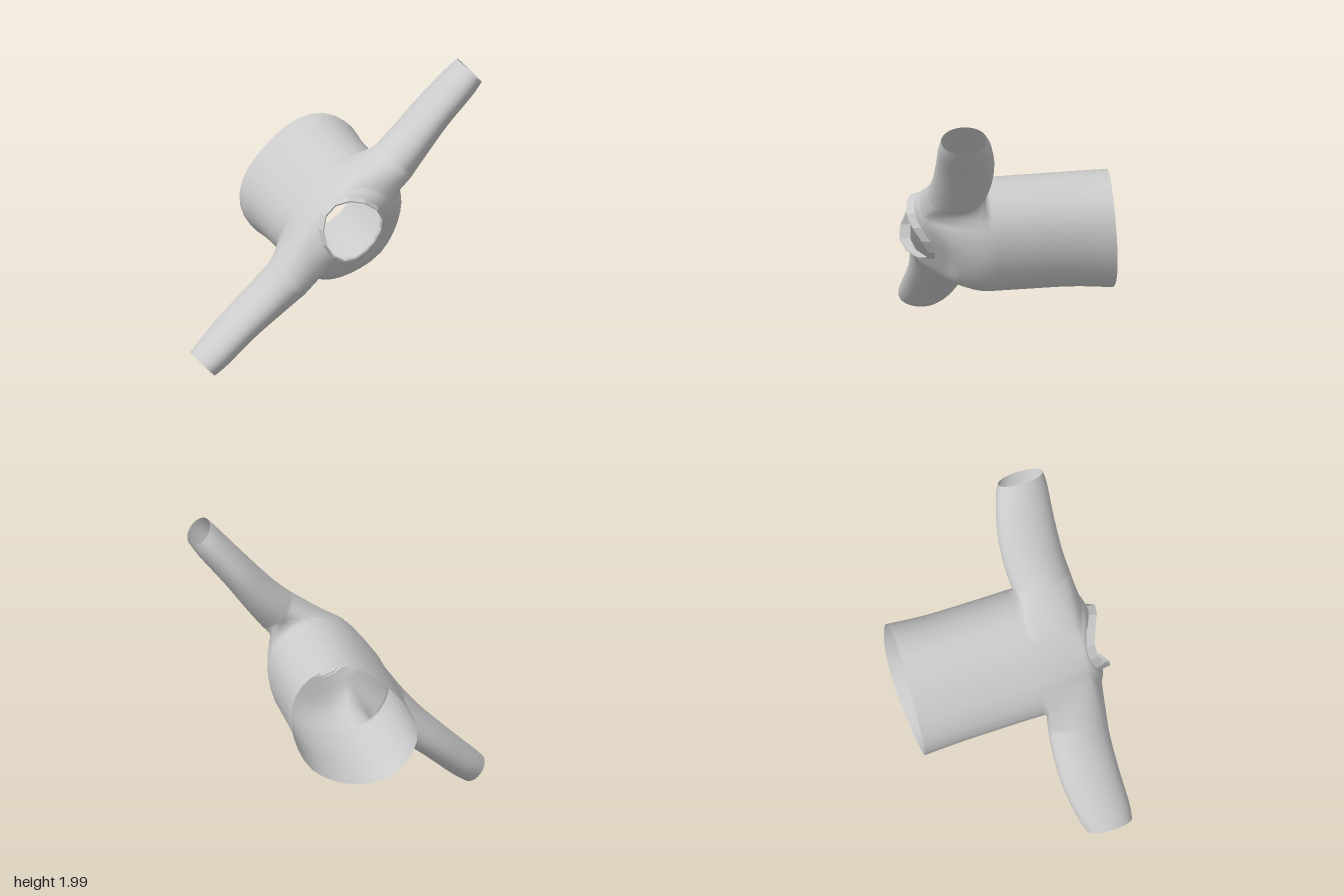
import * as THREE from 'three';
import { mergeGeometries, mergeVertices } from 'three/addons/utils/BufferGeometryUtils.js';

const V3 = (x, y, z) => new THREE.Vector3(x, y, z);
const U = V3(1, 1, 0).normalize();   // along the sleeves
const V = V3(1, -1, 0).normalize();  // across the body, from back to chest
const COLS = 32;                     // points around torso and sleeves

// Armhole patch in the torso grid: columns (counted towards the chest) and rows
const HOLE = { c0: -5, c1: 1, j0: 12, j1: 22 };

// Point at u along the sleeves, v across the body, z from hem to collar
const place = (u, v, z) => V3(0, 1, z).addScaledVector(U, u).addScaledVector(V, v);

// Skin a list of rings, leaving out the quads that skip(column, row) names
function skin(rings, skip = () => false) {
  const n = rings[0].length, pos = [], index = [];
  rings.forEach(r => r.forEach(p => pos.push(p.x, p.y, p.z)));
  for (let j = 0; j < rings.length - 1; j++) {
    for (let i = 0; i < n; i++) {
      if (skip(i, j)) continue;
      const a = j * n + i, b = j * n + (i + 1) % n;
      index.push(a, a + n, b, b, a + n, b + n);
    }
  }
  const g = new THREE.BufferGeometry();
  g.setAttribute('position', new THREE.Float32BufferAttribute(pos, 3));
  g.setIndex(index);
  return g;
}

const ring = (n, fn) => Array.from({ length: n }, (_, i) => fn(i / n * Math.PI * 2));

// Smoothly subdivide a table of cross-section values
function refine(rows, steps) {
  const out = [];
  for (let i = 0; i < rows.length - 1; i++) {
    const p = [rows[Math.max(i - 1, 0)], rows[i], rows[i + 1], rows[Math.min(i + 2, rows.length - 1)]];
    for (let s = 0; s < steps; s++) {
      const t = s / steps;
      out.push(p[1].map((b, k) => {
        const a = p[0][k], c = p[2][k], d = p[3][k];
        return b + 0.5 * t * (c - a + t * (2 * a - 5 * b + 4 * c - d + t * (3 * (b - c) + d - a)));
      }));
    }
  }
  out.push(rows[rows.length - 1]);
  return out;
}

// Neckline: high over the shoulders, lowest at the chest
const saddle = a => Math.cos(2 * a) - 0.4 * Math.sin(a);

// Superellipse radius: flat and square at the back, tapering at the chest
function bodyRadius(a, amount) {
  const e = 2 + amount * (Math.sin(a) < 0 ? 0.5 : -0.25);
  return (Math.abs(Math.cos(a)) ** e + Math.abs(Math.sin(a)) ** e) ** (-1 / e);
}

function torsoRings() {
  // z, offset to chest, half width, half depth, saddle, squareness
  const rows = [
    [-0.67, 0.172, 0.465, 0.372, 0.01, 1],
    [-0.40, 0.160, 0.447, 0.362, 0, 1],
    [0.00, 0.162, 0.443, 0.36, 0, 1],
    [0.20, 0.160, 0.443, 0.355, 0, 1],
    [0.38, 0.130, 0.42, 0.315, 0.03, 0.7],
    [0.50, 0.090, 0.37, 0.265, 0.065, 0.3],
    [0.555, 0.062, 0.28, 0.232, 0.06, 0],
    [0.575, 0.057, 0.215, 0.21, 0.055, 0],
  ];
  return refine(rows, 4).map(([z, v, w, d, s, q]) => ring(COLS, a => {
    const k = bodyRadius(a, q);
    return place(0.014 + w * k * Math.cos(a), v + d * k * Math.sin(a), z + s * saddle(a));
  }));
}

// True for torso quads inside either armhole
function inArmhole(i, j) {
  const within = c => c >= HOLE.c0 && c < HOLE.c1;
  const left = i > COLS * 0.75 ? i - COLS : i;
  const right = COLS / 2 - i - 1;
  return j >= HOLE.j0 && j < HOLE.j1 && (within(left) || within(right));
}

// Points around an armhole, starting at the chest side
function armhole(torso, side) {
  const { c0, c1, j0, j1 } = HOLE, mid = (j0 + j1) / 2, path = [];
  for (let j = mid; j < j1; j++) path.push([c1, j]);
  for (let c = c1; c > c0; c--) path.push([c, j1]);
  for (let j = j1; j > j0; j--) path.push([c0, j]);
  for (let c = c0; c < c1; c++) path.push([c, j0]);
  for (let j = j0; j < mid; j++) path.push([c1, j]);
  if (side < 0) path.push(path.shift()), path.reverse();
  return path.map(([c, j]) => torso[j][((side > 0 ? c : COLS / 2 - c) + COLS) % COLS]);
}

function sleeveRings(side) {
  // distance along sleeve, sideways offset, half thickness, centre z, half height
  const rows = [
    [0.52, 0.05, 0.147, 0.38, 0.20],
    [0.70, 0.045, 0.13, 0.365, 0.20],
    [0.95, 0.025, 0.115, 0.368, 0.196],
    [1.20, 0.01, 0.108, 0.395, 0.178],
    [1.31, 0.00, 0.098, 0.41, 0.155],
  ];
  return refine(rows, 4).map(([t, v, w, z, h]) => ring(COLS, a =>
    place(side * t, v + w * Math.cos(a), z + h * Math.sin(a) * side)));
}

// Torso and sleeves joined into one continuous cloth
function clothGeometry() {
  const torso = torsoRings();
  const parts = [skin(torso, inArmhole)];
  for (const side of [1, -1]) parts.push(skin([armhole(torso, side), ...sleeveRings(side)]));
  return mergeVertices(mergeGeometries(parts));
}

function collarGeometry() {
  // radius, z, saddle: outer bottom, outer top, inner top, inner bottom
  const rows = [[0.228, 0.56, 0.05], [0.216, 0.625, 0.06], [0.206, 0.622, 0.06], [0.21, 0.565, 0.05]];
  return skin(rows.map(([r, z, s]) => ring(14, a =>
    place(0.014 + r * Math.cos(a), 0.057 + r * Math.sin(a), z + s * saddle(a)))));
}

export function createModel() {
  const group = new THREE.Group();
  group.name = 'shirt';
  const add = (name, geometry, flatShading) => {
    geometry.computeVertexNormals();
    const mesh = new THREE.Mesh(geometry, new THREE.MeshStandardMaterial({
      color: 0xcccccc, side: THREE.DoubleSide, flatShading,
    }));
    mesh.name = name;
    group.add(mesh);
  };
  add('torsoAndSleeves', clothGeometry(), false);
  add('collar', collarGeometry(), true);
  return group;
}
